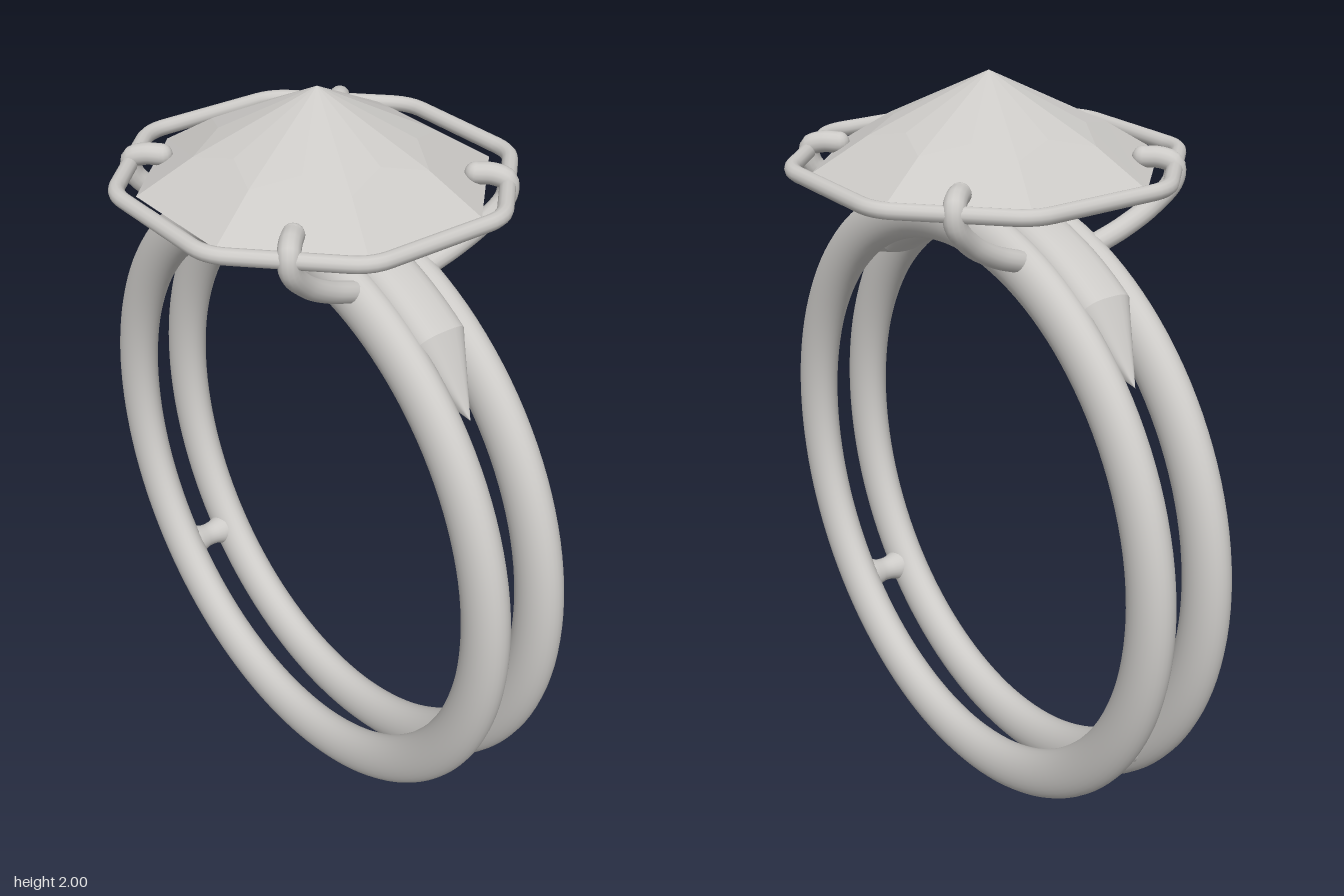
import * as THREE from 'three';

const CENTER_Y = 0.85;
const metal = new THREE.MeshStandardMaterial({ color: 0xcccac7 });
metal.name = 'pale grey';

function add(parent, name, geometry, x = 0, y = 0, z = 0) {
  const mesh = new THREE.Mesh(geometry, metal);
  mesh.name = name;
  mesh.position.set(x, y, z);
  parent.add(mesh);
  return mesh;
}

// Skin a list of closed rings (each an array of Vector3)
function loft(rings) {
  const n = rings[0].length, idx = [];
  for (let i = 0; i < rings.length - 1; i++) {
    for (let j = 0; j < n; j++) {
      const a = i * n + j, b = i * n + (j + 1) % n;
      idx.push(a, b, a + n, b, b + n, a + n);
    }
  }
  const g = new THREE.BufferGeometry().setFromPoints(rings.flat());
  g.setIndex(idx);
  g.computeVertexNormals();
  return g;
}

// Rounded-square cross-section of the bridge at an angle from the top of the band
function bridgeRing(angle) {
  const ring = [], soft = v => Math.sign(v) * Math.abs(v) ** 0.7;
  for (let j = 0; j < 32; j++) {
    const t = j / 32 * Math.PI * 2;
    const r = 0.785 + 0.085 * soft(Math.cos(t));
    ring.push(new THREE.Vector3(r * Math.sin(angle), CENTER_Y + r * Math.cos(angle), 0.078 * soft(Math.sin(t))));
  }
  return ring;
}

// Faceted octagonal crown with a flat underside
function gemGeometry() {
  const V = (x, y, z) => new THREE.Vector3(x, y, z);
  const corners = [], pts = [], baseY = 1.77;
  for (let k = 0; k < 4; k++) {
    for (const z of [0.167, -0.167]) {
      corners.push(V(0.41, baseY, z).applyAxisAngle(V(0, 1, 0), k * Math.PI / 2));
    }
  }
  const shrink = (p, s, y) => V(p.x * s, y, p.z * s);
  const apex = V(0, 2, 0), base = V(0, baseY, 0);
  corners.forEach((a, i) => {
    const b = corners[(i + 1) % 8];
    const ma = shrink(a, 0.683, 1.855), mb = shrink(b, 0.683, 1.855);
    const mid = shrink(a.clone().add(b).multiplyScalar(0.5), 0.588, 1.881);
    pts.push(a, b, mb, a, mb, mid, a, mid, ma);   // outer facet
    pts.push(ma, mid, apex, mid, mb, apex);       // star facets
    pts.push(b, a, base);                         // underside
  });
  const g = new THREE.BufferGeometry().setFromPoints(pts);
  g.computeVertexNormals();
  return g;
}

export function createModel() {
  const model = new THREE.Group();
  model.name = 'ring';

  // Twin bands, slightly narrower in z than they are deep
  for (const s of [1, -1]) {
    const band = new THREE.TorusGeometry(0.7825, 0.0675, 28, 128);
    band.scale(1, 1, 0.052 / 0.0675);
    add(model, s > 0 ? 'frontBand' : 'backBand', band, 0, CENTER_Y, s * 0.087);
  }

  // Waisted spacer bars joining the bands low down
  const barProfile = [[0.046, -0.05], [0.043, -0.035], [0.036, -0.015], [0.035, 0], [0.036, 0.015], [0.043, 0.035], [0.046, 0.05]]
    .map(p => new THREE.Vector2(...p));
  for (const s of [1, -1]) {
    const bar = new THREE.LatheGeometry(barProfile, 24);
    bar.rotateX(Math.PI / 2);
    add(model, s > 0 ? 'leftSpacer' : 'rightSpacer', bar, s * 0.572, 0.32, 0);
  }

  // Bridge between the bands, with a pointed tip at each end
  const full = THREE.MathUtils.degToRad(34.5), tip = THREE.MathUtils.degToRad(48.6);
  const body = [];
  for (let i = 0; i <= 32; i++) body.push(bridgeRing(-full + 2 * full * i / 32));
  add(model, 'bridge', loft(body));
  for (const s of [1, -1]) {
    const point = new THREE.Vector3(s * 0.787 * Math.sin(tip), CENTER_Y + 0.787 * Math.cos(tip), 0);
    const wide = bridgeRing(s * full);
    const rings = [0, 0.25, 0.5, 0.75, 1].map(f => wide.map(p => p.clone().lerp(point, f)));
    if (s < 0) rings.reverse();
    add(model, s > 0 ? 'leftBridgeTip' : 'rightBridgeTip', loft(rings));
  }

  // Octagonal wire around the stone, with softened corners
  const octagon = [];
  for (let k = 0; k < 4; k++) {
    for (const z of [0.195, -0.195]) {
      octagon.push(new THREE.Vector3(0.456, 1.78, z).applyAxisAngle(new THREE.Vector3(0, 1, 0), k * Math.PI / 2));
    }
  }
  const wirePath = new THREE.CurvePath();
  octagon.forEach((c, i) => {
    const prev = octagon[(i + 7) % 8], next = octagon[(i + 1) % 8];
    const toward = (p, d) => c.clone().add(p.clone().sub(c).setLength(d));
    wirePath.add(new THREE.QuadraticBezierCurve3(toward(prev, 0.05), c, toward(next, 0.05)));
    const end = next.clone().add(c.clone().sub(next).setLength(0.05));
    wirePath.add(new THREE.LineCurve3(toward(next, 0.05), end));
  });
  add(model, 'settingWire', new THREE.TubeGeometry(wirePath, 160, 0.02, 12, true));

  // Four prongs rising from the bands and hooking over the stone
  const prongs = new THREE.Group();
  prongs.name = 'prongs';
  model.add(prongs);
  for (const sx of [1, -1]) {
    for (const sz of [1, -1]) {
      const path = new THREE.CatmullRomCurve3([
        [0.29, 1.615, 0.11], [0.298, 1.645, 0.19], [0.312, 1.69, 0.265],
        [0.328, 1.75, 0.32], [0.325, 1.79, 0.322], [0.3, 1.803, 0.3], [0.27, 1.803, 0.27],
      ].map(([x, y, z]) => new THREE.Vector3(x * sx, y, z * sz)));
      add(prongs, 'prong', new THREE.TubeGeometry(path, 36, 0.027, 14));
      for (const t of [0, 1]) {
        const e = path.getPoint(t);
        add(prongs, 'prongEnd', new THREE.SphereGeometry(0.027, 14, 10), e.x, e.y, e.z);
      }
    }
  }

  add(model, 'stone', gemGeometry());
  return model;
}
